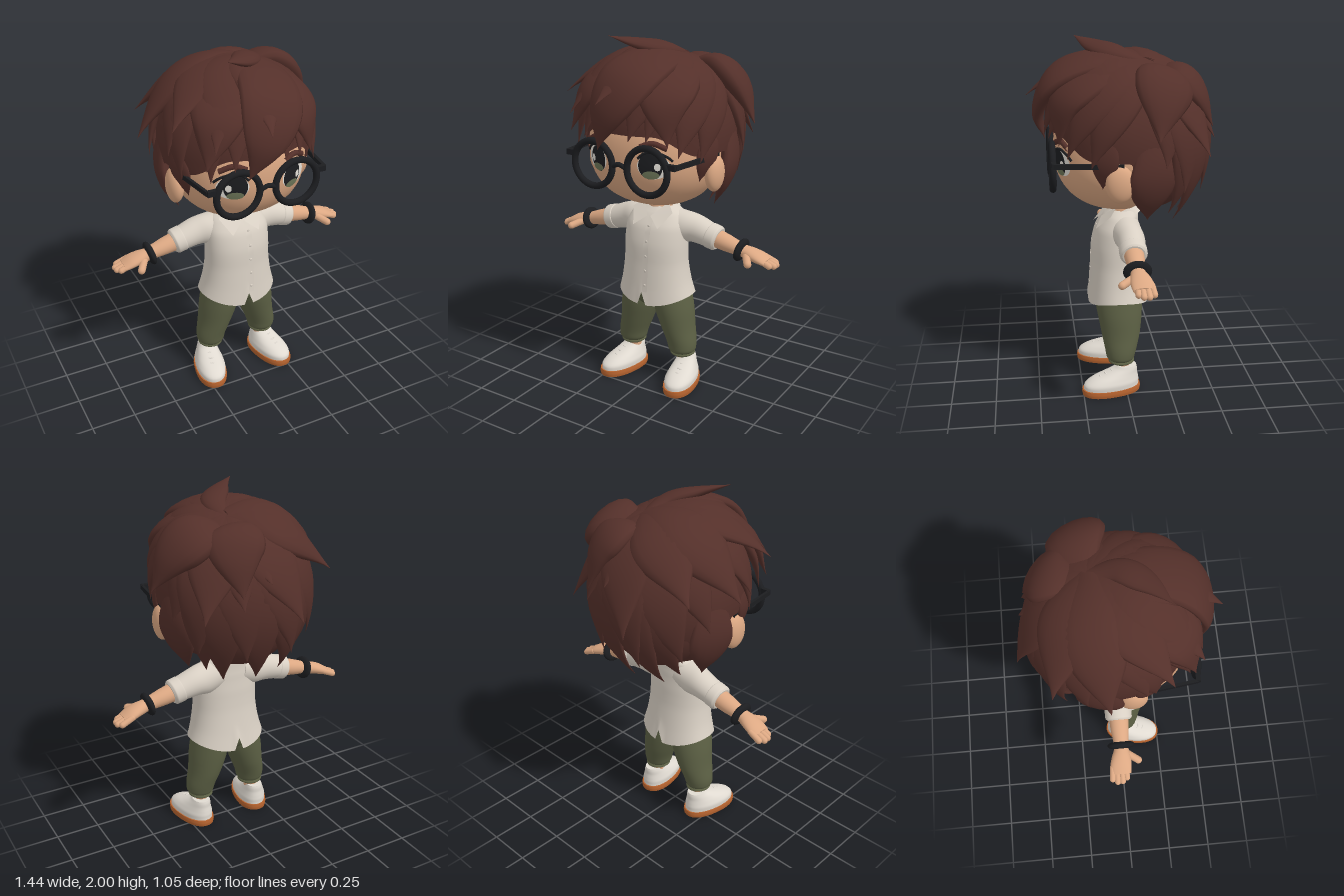
import * as THREE from 'three';
import { mergeGeometries } from 'three/addons/utils/BufferGeometryUtils.js';

const V = (x, y, z) => new THREE.Vector3(x, y, z);
const material = (name, color, side = THREE.FrontSide) => {
  const m = new THREE.MeshStandardMaterial({ color, side });
  m.name = name;
  return m;
};
const superPow = (c, n) => Math.sign(c) * Math.pow(Math.abs(c), 2 / n);
const smooth = (a, b, x) => THREE.MathUtils.smoothstep(x, a, b);

// Skin closed cross-sections [centre, u, v], where u x v points along the path
function loft(rings, seg = 32, n = 2, caps = true) {
  const pos = [], idx = [];
  const add = ([c, u, v]) => {
    for (let j = 0; j < seg; j++) {
      const a = (j / seg) * Math.PI * 2;
      const p = c.clone().addScaledVector(u, superPow(Math.cos(a), n)).addScaledVector(v, superPow(Math.sin(a), n));
      pos.push(p.x, p.y, p.z);
    }
  };
  rings.forEach(add);
  for (let i = 0; i < rings.length - 1; i++) for (let j = 0; j < seg; j++) {
    const a = i * seg + j, b = i * seg + (j + 1) % seg;
    idx.push(a, b, a + seg, b, b + seg, a + seg);
  }
  if (caps) [rings[0], rings[rings.length - 1]].forEach((r, k) => {
    const s = pos.length / 3;
    add(r);
    pos.push(r[0].x, r[0].y, r[0].z);
    for (let j = 0; j < seg; j++) {
      const a = s + j, b = s + (j + 1) % seg;
      idx.push(...(k ? [a, b, s + seg] : [b, a, s + seg]));
    }
  });
  const g = new THREE.BufferGeometry();
  g.setAttribute('position', new THREE.Float32BufferAttribute(pos, 3));
  g.setIndex(idx);
  g.computeVertexNormals();
  return g;
}

// Smooth stack of ellipses from rows [x, y, z, radius, radius], rising along y or x
function stack(rows, { axis = 'y', steps = 20, seg = 32, n = 2, caps = true } = {}) {
  const c = new THREE.CatmullRomCurve3(rows.map(r => V(r[0], r[1], r[2])));
  const s = new THREE.CatmullRomCurve3(rows.map(r => V(r[3], r[4], 0)));
  const rings = [];
  for (let i = 0; i <= steps; i++) {
    const r = s.getPoint(i / steps);
    rings.push([c.getPoint(i / steps), axis === 'y' ? V(r.x, 0, 0) : V(0, r.x, 0), axis === 'y' ? V(0, 0, -r.y) : V(0, 0, r.y)]);
  }
  return loft(rings, seg, n, caps);
}

function mirrored(geo) {
  const g = geo.clone().scale(-1, 1, 1), a = g.index.array;
  for (let i = 0; i < a.length; i += 3) [a[i], a[i + 1]] = [a[i + 1], a[i]];
  return g;
}

const ball = (x, y, z, rx, ry, rz) => new THREE.SphereGeometry(1, 40, 28).scale(rx, ry, rz).translate(x, y, z);
const tube = (pts, r) => new THREE.TubeGeometry(new THREE.CatmullRomCurve3(pts), 20, r, 10);
function limb(a, b, r) {
  const d = b.clone().sub(a), m = a.clone().add(b).multiplyScalar(0.5);
  return new THREE.CapsuleGeometry(r, d.length(), 6, 14)
    .applyQuaternion(new THREE.Quaternion().setFromUnitVectors(V(0, 1, 0), d.normalize())).translate(m.x, m.y, m.z);
}

// Head surface, used to lay the eyes and brows on the face
const HN = 2.3;
const norm = p => Math.pow(Math.abs(p.x) ** HN + Math.abs(p.y) ** HN + Math.abs(p.z) ** HN, 1 / HN);
const faceZ = (x, y) => 0.38 * Math.pow(Math.max(0, 1 - Math.abs(x / 0.37) ** HN - Math.abs((y - 1.4) / 0.33) ** HN), 1 / HN);
const onFace = (x, y, lift) => V(x, y, faceZ(x, y) + lift);
function patch(x, y, rx, ry, lift) {
  const g = new THREE.RingGeometry(0, 1, 36, 4).scale(rx, ry, 1).translate(x, y, 0), p = g.attributes.position;
  for (let i = 0; i < p.count; i++) p.setZ(i, faceZ(p.getX(i), p.getY(i)) + lift);
  g.computeVertexNormals();
  return g;
}

// Hair locks: tapered sweeps running from the crown over the skull to a tip
const HC = V(0, 1.47, -0.02), HR = V(0.408, 0.435, 0.415);
const unit = p => p.clone().sub(HC).divide(HR);
const bulge = d => 1 + 0.14 * Math.max(0, d.y) * Math.max(0, d.z);
const skull = (d, k) => d.clone().multiplyScalar(k * bulge(d)).multiply(HR).add(HC);
const CROWN = unit(V(0.08, 1.88, -0.13)).normalize();
function sweepLock(pts, w, th) {
  const last = pts.length - 1;
  return loft(pts.map((p, i) => {
    const t = i / last, k = Math.pow(Math.max(0, Math.sin(Math.PI * (0.15 + 0.85 * Math.pow(t, 1.2)))), 1.25);
    const d = pts[Math.min(i + 1, last)].clone().sub(pts[Math.max(i - 1, 0)]).normalize();
    const out = p.clone().sub(HC);
    out.addScaledVector(d, -out.dot(d)).normalize();
    return [p, out.clone().cross(d).multiplyScalar(w * k + 0.0005), out.multiplyScalar(th * k + 0.0005)];
  }), 16);
}
function lock([x, y, z, w, th = 0.045]) {
  const q = unit(V(x, y, z)), len = q.length(), d = q.normalize(), s = len / bulge(d);
  const axis = CROWN.clone().cross(d).normalize(), angle = CROWN.angleTo(d), pts = [];
  for (let i = 0; i <= 18; i++) {
    const t = i / 18;
    pts.push(skull(CROWN.clone().applyAxisAngle(axis, angle * t), 0.98 + (s - 0.98) * t ** 3.5));
  }
  return sweepLock(pts, w, th);
}
const freeLock = (pts, w, th) => sweepLock(new THREE.CatmullRomCurve3(pts.map(p => V(...p))).getPoints(24), w, th);

export function createModel() {
  const model = new THREE.Group();
  const hair = material('hair brown', 0x54302a, THREE.DoubleSide), skin = material('skin', 0xdca883);
  const cloth = material('shirt cream', 0xd9d0c4, THREE.DoubleSide), olive = material('trouser olive', 0x5c6044);
  const canvas = material('shoe white', 0xe0dad1), rubber = material('sole orange', 0xb8642f);
  const black = material('black', 0x1c1d20), white = material('eye white', 0xe8e4dc), green = material('iris green', 0x6f785a);
  const add = (name, geo, mat) => {
    const m = new THREE.Mesh(geo, mat);
    m.name = name;
    model.add(m);
  };
  const pair = (name, geo, mat) => {
    add(name + 'Left', geo, mat);
    add(name + 'Right', mirrored(geo), mat);
  };

  // Head (narrower behind, under the hair), ears and neck
  const head = new THREE.SphereGeometry(1, 56, 40), hp = head.attributes.position;
  for (let i = 0; i < hp.count; i++) {
    const p = V(0, 0, 0).fromBufferAttribute(hp, i);
    p.divideScalar(norm(p));
    const k = 1 - 0.14 * smooth(0, 0.5, -p.z);
    hp.setXYZ(i, p.x * k * 0.37, 1.4 + p.y * k * 0.33, p.z * (p.z > 0 ? 0.38 : 0.32));
  }
  head.computeVertexNormals();
  add('head', head, skin);
  pair('ear', ball(0.375, 1.295, 0.055, 0.045, 0.1, 0.075), skin);
  add('neck', new THREE.CylinderGeometry(0.065, 0.075, 0.16, 32).translate(0, 1.05, 0.005), skin);

  // Eyes and brows
  pair('eyeWhite', patch(0.175, 1.366, 0.078, 0.068, 0.003), white);
  pair('pupil', patch(0.163, 1.367, 0.059, 0.071, 0.005), black);
  pair('iris', patch(0.165, 1.32, 0.042, 0.022, 0.007), green);
  pair('eyeGlint', patch(0.2, 1.365, 0.015, 0.02, 0.008), white);
  pair('eyelash', tube([[0.1, 1.405], [0.135, 1.435], [0.19, 1.44], [0.24, 1.418], [0.262, 1.395]].map(p => onFace(...p, 0.002)), 0.007), black);
  pair('brow', tube([[0.11, 1.465], [0.17, 1.486], [0.24, 1.458]].map(p => onFace(...p, 0.005)), 0.015), hair);

  // Glasses
  pair('glassesRim', new THREE.TorusGeometry(0.122, 0.018, 14, 48).translate(0.168, 1.347, 0.393), black);
  add('glassesBridge', tube([V(-0.05, 1.345, 0.395), V(0, 1.365, 0.4), V(0.05, 1.345, 0.395)], 0.013), black);
  pair('glassesHinge', new THREE.BoxGeometry(0.05, 0.03, 0.025).translate(0.315, 1.39, 0.39), black);
  pair('glassesTemple', new THREE.BoxGeometry(0.016, 0.026, 0.36).rotateY(-0.13).translate(0.36, 1.39, 0.212), black);

  // Hair shell with a hairline that is high in front and drops behind the ears
  const shell = new THREE.SphereGeometry(1, 128, 32, 0, Math.PI * 2, 0, 3), sp = shell.attributes.position, uv = shell.attributes.uv;
  for (let i = 0; i < sp.count; i++) {
    const az = uv.getX(i) * Math.PI * 2, a = Math.abs(az - Math.PI) * 180 / Math.PI;
    const line = 1.52 - 0.11 * smooth(25, 60, a) - 0.27 * smooth(86, 104, a);
    const th = (1 - uv.getY(i)) * Math.acos((line - HC.y) / HR.y);
    const p = skull(V(-Math.sin(az) * Math.sin(th), Math.cos(th), -Math.cos(az) * Math.sin(th)), 1);
    sp.setXYZ(i, p.x, p.y, p.z);
  }
  shell.computeVertexNormals();
  add('hairShell', shell, hair);
  add('hairNape', ball(0, 1.38, -0.17, 0.34, 0.31, 0.23), hair);
  // Tip x, y, z and half width of every lock
  const fringe = [[-0.05, 1.69, 0.52, 0.15], [-0.3, 1.42, 0.35, 0.14], [-0.2, 1.49, 0.42, 0.13], [0.08, 1.5, 0.43, 0.14],
    [0.17, 1.5, 0.41, 0.12], [0.31, 1.42, 0.32, 0.13], [0.37, 1.38, 0.2, 0.12], [-0.3, 1.6, 0.41, 0.14], [-0.45, 1.68, 0.24, 0.15],
    [-0.38, 1.38, 0.17, 0.12], [-0.43, 1.5, 0.12, 0.13]];
  const back = [[-0.52, 1.54, -0.07, 0.17, 0.07], [-0.43, 1.58, -0.35, 0.16, 0.06], [-0.15, 1.38, -0.53, 0.16], [0.02, 1.6, -0.49, 0.13],
    [0.17, 1.48, -0.48, 0.14], [0.36, 1.42, -0.42, 0.15], [0.42, 1.38, -0.18, 0.13], [-0.42, 1.38, -0.18, 0.13],
    [-0.33, 1.22, -0.29, 0.16], [0.33, 1.22, -0.29, 0.16], [-0.15, 1.18, -0.42, 0.16], [0.12, 1.18, -0.42, 0.16]];
  const nape = [[0, 1.03, -0.31, 0.16]];
  for (const s of [-1, 1]) nape.push([s * 0.17, 1.03, -0.26, 0.15], [s * 0.25, 1.09, -0.22, 0.14]);
  add('fringeLocks', mergeGeometries(fringe.map(lock)), hair);
  add('backLocks', mergeGeometries(back.map(lock)), hair);
  add('napeLocks', mergeGeometries(nape.map(lock)), hair);
  add('mainFringe', freeLock([[0.09, 1.86, -0.12], [0.08, 1.89, 0.12], [0.03, 1.8, 0.36], [-0.05, 1.62, 0.45], [-0.12, 1.43, 0.42]], 0.17, 0.05), hair);
  add('leftFringe', freeLock([[0.09, 1.85, -0.12], [0.16, 1.84, 0.12], [0.23, 1.7, 0.32], [0.27, 1.48, 0.36]], 0.16, 0.05), hair);
  add('rightFringe', freeLock([[0.07, 1.86, -0.12], [-0.1, 1.85, 0.12], [-0.24, 1.72, 0.31], [-0.33, 1.5, 0.37]], 0.16, 0.05), hair);
  add('cowlick', freeLock([[0.09, 1.87, -0.14], [0.07, 1.92, 0.02], [-0.02, 1.95, 0.14], [-0.16, 1.995, 0.25]], 0.075, 0.035), hair);
  add('sideTuft', freeLock([[0.08, 1.8, -0.15], [0.26, 1.82, -0.18], [0.4, 1.72, -0.16], [0.51, 1.54, -0.13]], 0.16, 0.07), hair);
  add('rearTuft', freeLock([[0.09, 1.8, -0.15], [0.12, 1.82, -0.28], [0.16, 1.72, -0.38], [0.17, 1.54, -0.47]], 0.15, 0.06), hair);
  pair('sideburn', freeLock([[0.36, 1.58, 0.1], [0.375, 1.46, 0.12], [0.362, 1.36, 0.14], [0.33, 1.26, 0.14]], 0.07, 0.02), hair);
  pair('behindEarLock', freeLock([[0.35, 1.6, -0.1], [0.375, 1.38, -0.12], [0.35, 1.22, -0.11], [0.29, 1.07, -0.1]], 0.13, 0.045), hair);

  // Shirt body with curved hem and a notch front and back
  const rows = [[0, 0.5, 0.03, 0.228, 0.172], [0, 0.6, 0.035, 0.21, 0.158], [0, 0.74, 0.04, 0.19, 0.143], [0, 0.85, 0.04, 0.188, 0.138],
    [0, 0.95, 0.03, 0.182, 0.122], [0, 1.02, 0.008, 0.15, 0.096], [0, 1.055, -0.008, 0.09, 0.078]];
  const body = stack(rows, { steps: 30, seg: 64, n: 2.2, caps: false }), bp = body.attributes.position;
  for (let i = 0; i < bp.count; i++) {
    const x = bp.getX(i), y = bp.getY(i), f = Math.max(0, 1 - (y - 0.5) / 0.14);
    bp.setY(i, y + f * (Math.abs(x) < 0.003 ? 0.075 : 0.05 * (x / 0.228) ** 2));
  }
  body.computeVertexNormals();
  add('shirtBody', body, cloth);
  const frontZ = y => {
    const i = Math.max(1, rows.findIndex(r => r[1] >= y)), a = rows[i - 1], b = rows[i];
    return THREE.MathUtils.lerp(a[2] + a[4], b[2] + b[4], (y - a[1]) / (b[1] - a[1]));
  };
  const placket = new THREE.PlaneGeometry(0.034, 0.43, 1, 20).translate(0.018, 0.795, 0), pp = placket.attributes.position;
  for (let i = 0; i < pp.count; i++) pp.setZ(i, frontZ(pp.getY(i)) + 0.004);
  placket.computeVertexNormals();
  add('placket', placket, cloth);
  for (let y = 0.62; y < 1; y += 0.085) add('button', ball(0.018, y, frontZ(y) + 0.004, 0.008, 0.008, 0.003), cloth);

  // Collar band and folded flaps
  add('collarBand', new THREE.CylinderGeometry(0.086, 0.11, 0.05, 40, 1, true).rotateX(0.42).translate(0, 1.033, -0.002), cloth);
  const flap = new THREE.BufferGeometry();
  flap.setAttribute('position', new THREE.Float32BufferAttribute([0.01, 1.008, 0.12, 0.08, 0.955, 0.158, 0.13, 1.035, 0.08, 0.08, 1.08, 0.04], 3));
  flap.setIndex([0, 1, 2, 0, 2, 3]);
  flap.computeVertexNormals();
  pair('collarFlap', flap, cloth);

  // Arms, built straight along x and tilted down from the shoulder
  const arm = (name, geo, mat) => pair(name, geo.rotateZ(-0.24).translate(0.13, 0.958, -0.02), mat);
  const X = { axis: 'x' };
  arm('sleeve', stack([[-0.06, -0.015, 0.015, 0.085, 0.085], [0.03, -0.012, 0.01, 0.092, 0.085], [0.1, 0, 0, 0.08, 0.078], [0.19, 0, 0, 0.068, 0.072]], X), cloth);
  arm('sleeveCuff', stack([[0.18, 0, 0, 0.064, 0.066], [0.19, 0, 0, 0.072, 0.076], [0.235, 0, 0, 0.071, 0.075], [0.248, 0, 0, 0.06, 0.062]], X), cloth);
  arm('forearm', stack([[0.2, 0, 0, 0.054, 0.056], [0.3, 0, 0, 0.047, 0.051], [0.4, 0, 0, 0.036, 0.04], [0.45, 0.002, -0.005, 0.034, 0.052],
    [0.5, 0, -0.01, 0.03, 0.06], [0.55, -0.006, -0.012, 0.02, 0.055]], X), skin);
  arm('wristBand', stack([[0.37, 0, 0, 0.045, 0.05], [0.373, 0, 0, 0.051, 0.058], [0.405, 0, 0, 0.051, 0.058], [0.408, 0, 0, 0.045, 0.05]], X), black);
  [[-0.052, 0.575], [-0.025, 0.592], [0.003, 0.59], [0.028, 0.572]].forEach(([z, x]) =>
    arm('finger', limb(V(0.51, -0.002, z * 0.9 - 0.01), V(x, -0.012, z - 0.01), 0.0175), skin));
  arm('thumb', limb(V(0.43, -0.006, 0.02), V(0.48, -0.018, 0.09), 0.021), skin);

  // Trousers with gathered ankles
  add('hips', ball(0, 0.55, 0.03, 0.2, 0.11, 0.135), olive);
  pair('trouserLeg', stack([[0.17, 0.185, 0.027, 0.062, 0.066], [0.17, 0.205, 0.03, 0.08, 0.08], [0.165, 0.25, 0.028, 0.086, 0.09],
    [0.14, 0.34, 0.025, 0.096, 0.11], [0.112, 0.47, 0.028, 0.11, 0.128], [0.1, 0.58, 0.03, 0.1, 0.13]]), olive);
  pair('trouserCuff', stack([[0.17, 0.165, 0.025, 0.054, 0.057], [0.17, 0.172, 0.025, 0.062, 0.065], [0.17, 0.2, 0.025, 0.062, 0.065]]), olive);
  pair('ankle', new THREE.CylinderGeometry(0.042, 0.04, 0.1, 28).translate(0.172, 0.145, 0.015), skin);

  // Shoes, toes turned slightly out
  const foot = (name, geo, mat) => pair(name, geo.rotateY(0.2).translate(0.184, 0, 0), mat);
  foot('shoeUpper', stack([[0, 0.03, 0.09, 0.084, 0.163], [0, 0.06, 0.088, 0.086, 0.161], [0, 0.09, 0.068, 0.076, 0.137],
    [0, 0.115, 0.035, 0.064, 0.099], [0, 0.14, 0.004, 0.053, 0.067], [0, 0.155, -0.004, 0.047, 0.055]], { n: 2.2 }), canvas);
  foot('shoeSole', stack([[0, 0, 0.09, 0.089, 0.169], [0, 0.018, 0.09, 0.092, 0.172], [0, 0.036, 0.09, 0.09, 0.17]], { n: 2.3, steps: 6 }), rubber);
  [[0.105, 0.158], [0.117, 0.126], [0.13, 0.088]].forEach(([y, z]) =>
    foot('lace', tube([V(-0.04, y - 0.012, z - 0.02), V(0, y, z), V(0.04, y - 0.012, z - 0.02)], 0.005), canvas));
  return model;
}
